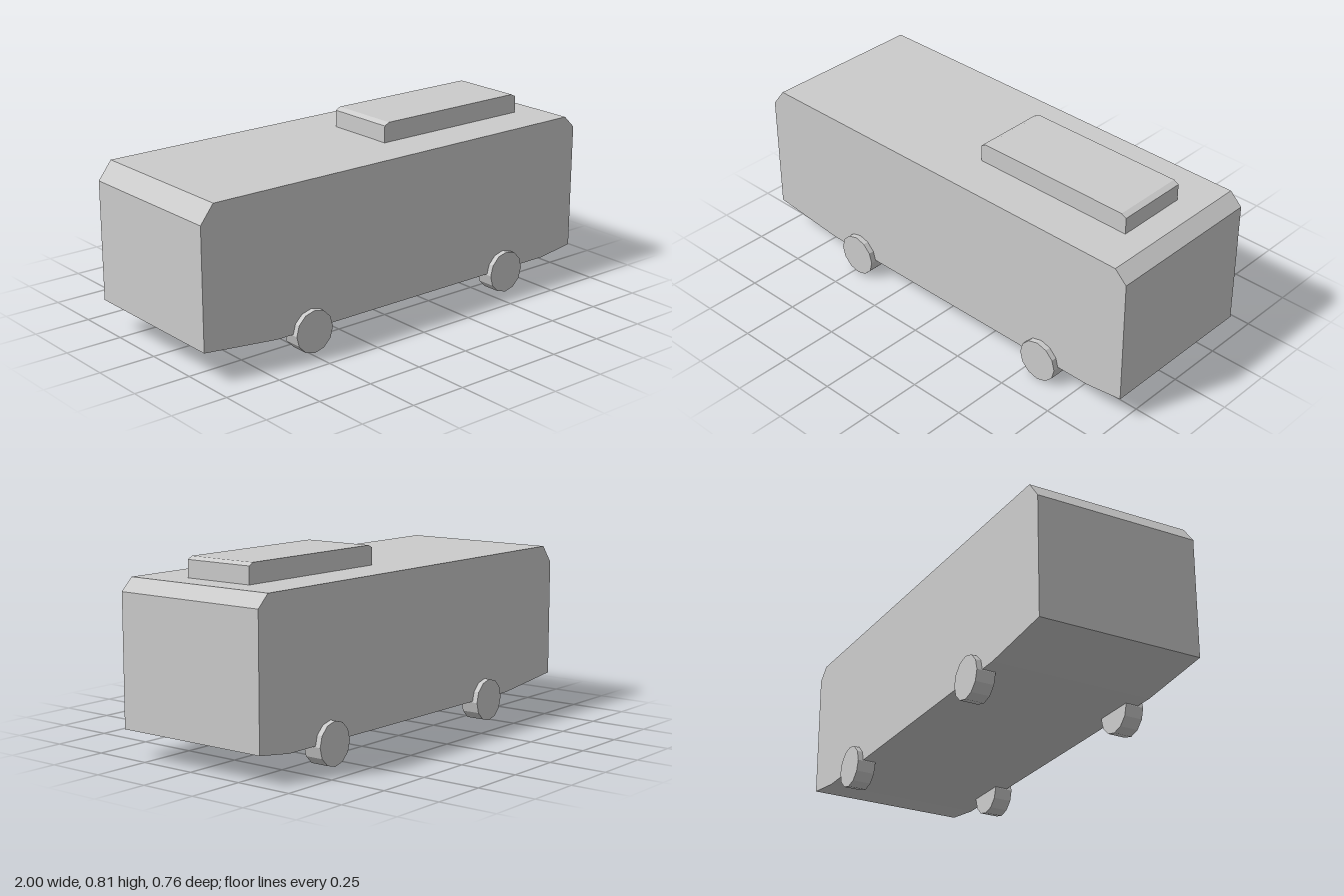
import * as THREE from 'three';

const material = new THREE.MeshStandardMaterial({ color: 0xcccccc, flatShading: true });

// Side outline (x, y) extruded across the full width, centred on z = 0
function sideExtrusion(name, outline, width) {
  const shape = new THREE.Shape(outline.map(([x, y]) => new THREE.Vector2(x, y)));
  const geometry = new THREE.ExtrudeGeometry(shape, { depth: width, bevelEnabled: false });
  geometry.translate(0, 0, -width / 2);
  const mesh = new THREE.Mesh(geometry, material);
  mesh.name = name;
  return mesh;
}

export function createModel() {
  const group = new THREE.Group();
  group.name = 'bus';

  // Body with chamfered roof ends and raised underside ends
  group.add(sideExtrusion('body', [
    [-1, 0.133], [-0.65, 0.096], [0.83, 0.096], [1, 0.119],
    [1, 0.672], [0.945, 0.725], [-0.94, 0.725], [-1, 0.648],
  ], 0.716));

  // Roof unit with slightly bevelled ends
  group.add(sideExtrusion('roofUnit', [
    [0.07, 0.725], [0.83, 0.725], [0.83, 0.798],
    [0.807, 0.81], [0.093, 0.81], [0.07, 0.798],
  ], 0.322));

  // Twelve-sided wheels, standing slightly proud of the sides
  const radius = 0.092;
  const wheelGeometry = new THREE.CylinderGeometry(radius, radius, 0.082, 12);
  wheelGeometry.rotateX(Math.PI / 2);
  for (const [axle, x] of [['rear', -0.48], ['front', 0.585]]) {
    for (const side of [-1, 1]) {
      const wheel = new THREE.Mesh(wheelGeometry, material);
      wheel.name = axle + 'Wheel';
      wheel.position.set(x, radius, side * 0.341);
      group.add(wheel);
    }
  }

  return group;
}
